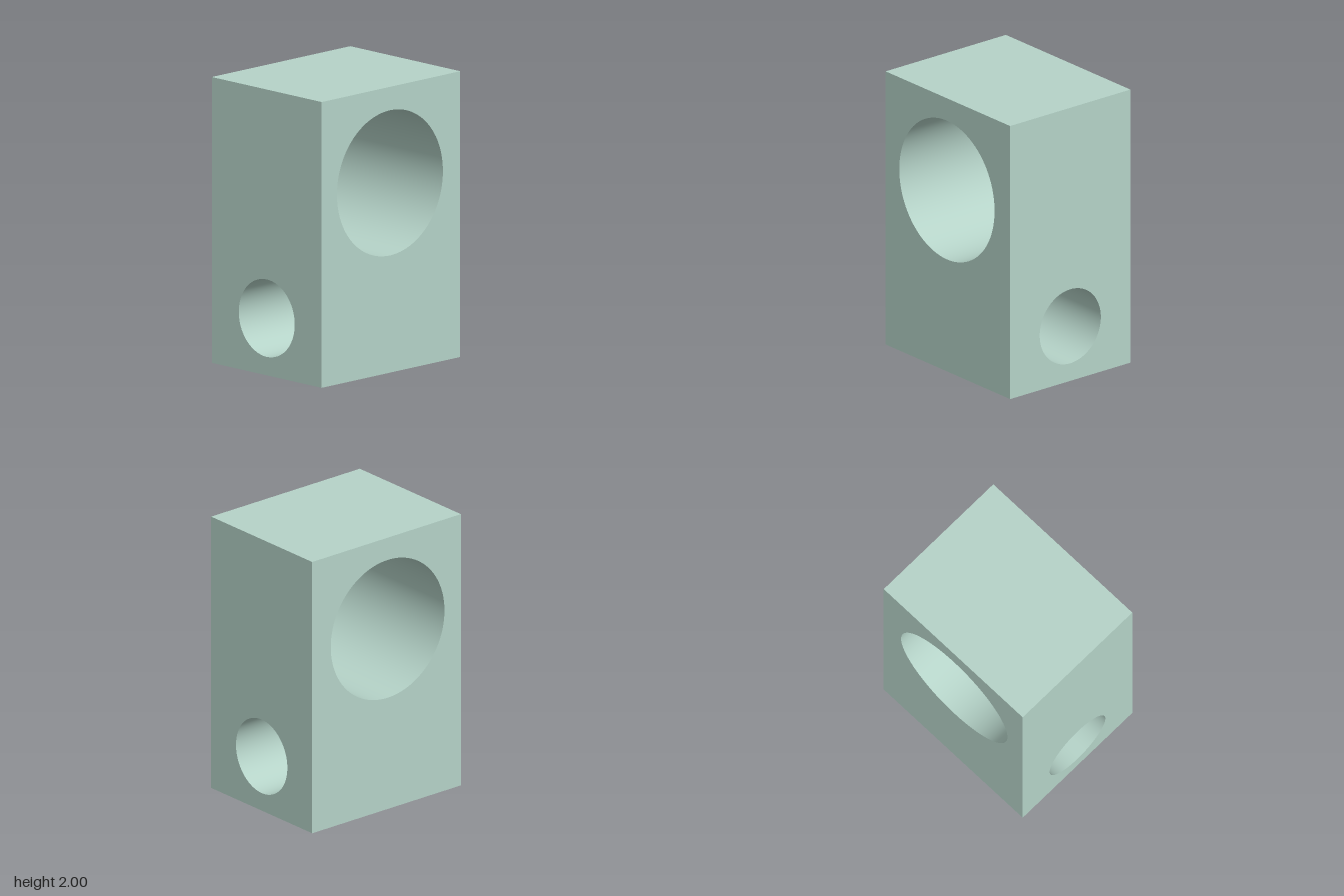
import * as THREE from 'three';

const W = 1.066, H = 2, D = 1.328; // block size
const SEGMENTS = 96;
const sideBore = { y: 1.328, z: 0.01, r: 0.508 }; // runs along x
const frontBore = { y: 0.4, x: 0, r: 0.271 }; // runs along z

// Flat rectangular wall centred on its own origin, with an optional round hole
function wallGeometry(width, height, hole) {
  const shape = new THREE.Shape();
  shape.moveTo(-width / 2, -height / 2);
  shape.lineTo(width / 2, -height / 2);
  shape.lineTo(width / 2, height / 2);
  shape.lineTo(-width / 2, height / 2);
  shape.closePath();
  if (hole) {
    const path = new THREE.Path();
    path.absarc(hole.x, hole.y, hole.r, 0, Math.PI * 2, true);
    shape.holes.push(path);
  }
  return new THREE.ShapeGeometry(shape, SEGMENTS / 2);
}

export function createModel() {
  const model = new THREE.Group();
  model.name = 'drilledBlock';
  const color = 0xb5d3c8;
  const outer = new THREE.MeshStandardMaterial({ color });
  const inner = new THREE.MeshStandardMaterial({ color, side: THREE.DoubleSide });

  const add = (name, geometry, material, x, y, z) => {
    const mesh = new THREE.Mesh(geometry, material);
    mesh.name = name;
    mesh.position.set(x, y, z);
    model.add(mesh);
  };

  // Front and back walls, pierced by the small bore
  for (const s of [1, -1]) {
    const hole = { x: s * frontBore.x, y: frontBore.y - H / 2, r: frontBore.r };
    const wall = wallGeometry(W, H, hole).rotateY(s > 0 ? 0 : Math.PI);
    add(s > 0 ? 'frontWall' : 'backWall', wall, outer, 0, H / 2, s * D / 2);
  }

  // Left and right walls, pierced by the large bore
  for (const s of [1, -1]) {
    const hole = { x: -s * sideBore.z, y: sideBore.y - H / 2, r: sideBore.r };
    const wall = wallGeometry(D, H, hole).rotateY(s * Math.PI / 2);
    add(s > 0 ? 'leftWall' : 'rightWall', wall, outer, s * W / 2, H / 2, 0);
  }

  // Top and bottom
  add('top', wallGeometry(W, D).rotateX(-Math.PI / 2), outer, 0, H, 0);
  add('bottom', wallGeometry(W, D).rotateX(Math.PI / 2), outer, 0, 0, 0);

  // Smooth linings of the two through holes
  const bore = (r, length) => new THREE.CylinderGeometry(r, r, length, SEGMENTS, 1, true);
  add('largeBore', bore(sideBore.r, W).rotateZ(Math.PI / 2), inner, 0, sideBore.y, sideBore.z);
  add('smallBore', bore(frontBore.r, D).rotateX(Math.PI / 2), inner, frontBore.x, frontBore.y, 0);

  return model;
}
